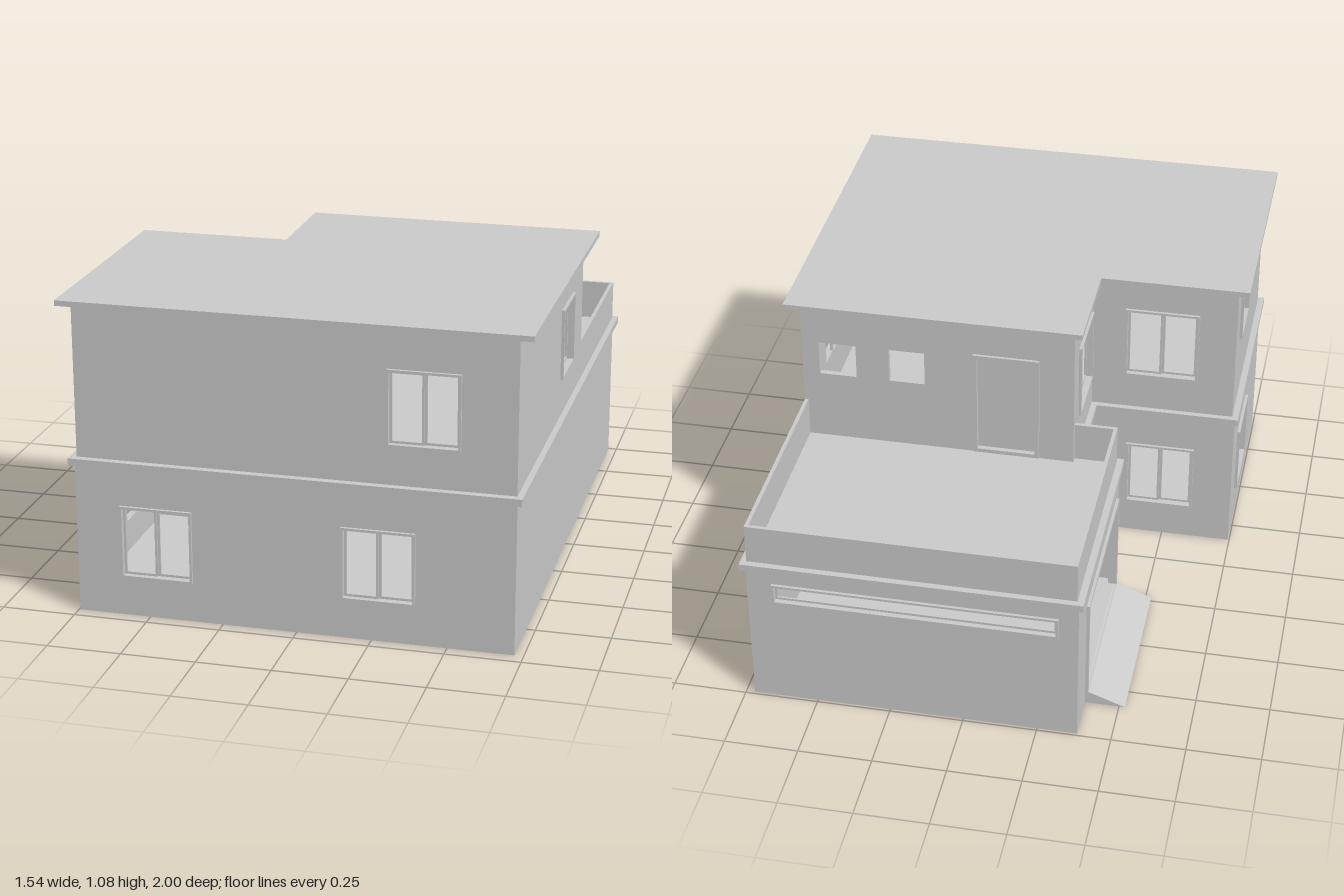
import * as THREE from 'three';

const T = 0.02; // wall thickness
const grey = new THREE.MeshStandardMaterial({ color: 0xcccccc, side: THREE.DoubleSide });

// Outward normals; sign turns a world coordinate into the wall's own left-to-right one
const SIDES = {
  front: { n: [0, 1], sign: 1 },
  back: { n: [0, -1], sign: -1 },
  left: { n: [1, 0], sign: -1 },
  right: { n: [-1, 0], sign: 1 },
};

function rect(target, a, b, y0, y1) {
  target.moveTo(a, y0);
  target.lineTo(b, y0);
  target.lineTo(b, y1);
  target.lineTo(a, y1);
  target.closePath();
  return target;
}

// Upright plate with rectangular holes [a, b, y0, y1], from depth z0 to z1
function plate(name, [a, b, y0, y1], holes, z0, z1) {
  const shape = rect(new THREE.Shape(), a, b, y0, y1);
  for (const h of holes) shape.holes.push(rect(new THREE.Path(), ...h));
  const geo = new THREE.ExtrudeGeometry(shape, { depth: z1 - z0, bevelEnabled: false });
  geo.translate(0, 0, z0);
  const mesh = new THREE.Mesh(geo, grey);
  mesh.name = name;
  return mesh;
}

const inset = ([a, b, y0, y1], d) => [a + d, b - d, y0 + d, y1 - d];

// Raised outer ring with one or two recessed sashes
function windowFrame(r, panes) {
  const group = new THREE.Group();
  group.name = 'windowFrame';
  group.add(plate('casing', r, [inset(r, 0.008)], -T, 0.01));
  const [a, b, y0, y1] = inset(r, 0.008);
  const w = (b - a) / panes;
  for (let i = 0; i < panes; i++) {
    const sash = [a + i * w, a + (i + 1) * w, y0, y1];
    const z = -0.008 - i * 0.006;
    group.add(plate('sash', sash, [inset(sash, 0.008)], z - 0.006, z));
  }
  return group;
}

// Wall in world coordinates; each opening is {r: [from, to, y0, y1], type}
function wall(name, side, dist, [from, to, y0, y1], openings = [], thick = T) {
  const { n, sign } = SIDES[side];
  const local = ([p, q, lo, hi]) => [Math.min(p * sign, q * sign), Math.max(p * sign, q * sign), lo, hi];
  const group = new THREE.Group();
  group.name = name;
  const holes = openings.map((o) => local(o.r));
  const cut = holes.map((h, i) => (openings[i].type === 'hole' ? h : inset(h, 0.004)));
  group.add(plate('wallPanel', local([from, to, y0, y1]), cut, -thick, 0));
  openings.forEach(({ type }, i) => {
    const h = holes[i];
    if (type === 'double') group.add(windowFrame(h, 2));
    if (type === 'single') group.add(windowFrame(h, 1));
    if (type === 'frame' || type === 'door') group.add(plate('openingFrame', h, [inset(h, 0.014)], -T, 0.01));
    if (type === 'door') group.add(plate('doorLeaf', inset(h, 0.014), [], -0.018, -0.008));
  });
  group.rotation.y = Math.atan2(n[0], n[1]);
  group.position.set(n[0] * Math.abs(dist), 0, n[1] * Math.abs(dist));
  // Walls whose plane lies across the centre from their facing direction
  if (n[0] * dist < 0) group.position.x = dist;
  if (n[1] * dist < 0) group.position.z = dist;
  return group;
}

// Horizontal slab from [x, z] corners
function slab(name, points, y0, y1) {
  const shape = new THREE.Shape(points.map(([x, z]) => new THREE.Vector2(x, -z)));
  const geo = new THREE.ExtrudeGeometry(shape, { depth: y1 - y0, bevelEnabled: false });
  geo.rotateX(-Math.PI / 2).translate(0, y0, 0);
  const mesh = new THREE.Mesh(geo, grey);
  mesh.name = name;
  return mesh;
}

function box(name, x0, x1, y0, y1, z0, z1) {
  const mesh = new THREE.Mesh(new THREE.BoxGeometry(x1 - x0, y1 - y0, z1 - z0), grey);
  mesh.position.set((x0 + x1) / 2, (y0 + y1) / 2, (z0 + z1) / 2);
  mesh.name = name;
  return mesh;
}

export function createModel() {
  const house = new THREE.Group();
  house.name = 'house';

  // Ground slab, floor band and flat roof
  house.add(slab('groundSlab', [[-0.745, 0.955], [0.72, 0.955], [0.72, -0.99], [-0.385, -0.99],
    [-0.385, -0.18], [-0.23, -0.18], [-0.23, 0.16], [-0.745, 0.16]], 0, 0.04));
  house.add(slab('floorBand', [[-0.757, 0.985], [0.74, 0.985], [0.74, -0.997], [-0.4, -0.997],
    [-0.4, -0.17], [-0.25, -0.17], [-0.25, 0.14], [-0.757, 0.14]], 0.52, 0.545));
  house.add(slab('roof', [[-0.775, 1], [0.77, 1], [0.77, -0.25], [-0.26, -0.25],
    [-0.26, 0.125], [-0.775, 0.125]], 1.065, 1.083));

  // Ground floor walls
  const g0 = 0, g1 = 0.52;
  house.add(wall('groundFrontWall', 'front', 0.955, [-0.745, 0.72, g0, g1], [
    { r: [-0.595, -0.35, 0.135, 0.385], type: 'double' },
    { r: [0.15, 0.395, 0.135, 0.385], type: 'double' }]));
  house.add(wall('groundLeftWall', 'left', 0.72, [-0.99, 0.955, g0, g1]));
  house.add(wall('groundBackWall', 'back', -0.99, [-0.385, 0.72, g0, g1], [
    { r: [-0.32, 0.635, 0.4, 0.475], type: 'single' }]));
  house.add(wall('garageWall', 'right', -0.385, [-0.99, -0.18, g0, g1], [
    { r: [-0.835, -0.225, 0.035, 0.415], type: 'frame' }]));
  house.add(wall('garageReturnWall', 'front', -0.18, [-0.385, -0.21, g0, g1]));
  house.add(wall('entranceWall', 'right', -0.23, [-0.2, 0.16, g0, g1], [
    { r: [-0.115, 0.055, 0.06, 0.385], type: 'door' }]));
  house.add(wall('groundWingBackWall', 'back', 0.16, [-0.745, -0.21, g0, g1], [
    { r: [-0.605, -0.36, 0.13, 0.385], type: 'double' }]));
  house.add(wall('groundRightWall', 'right', -0.745, [0.16, 0.955, g0, g1], [
    { r: [0.3, 0.55, 0.135, 0.385], type: 'double' }]));

  // Upper floor walls
  const u0 = 0.545, u1 = 1.065;
  house.add(wall('upperFrontWall', 'front', 0.96, [-0.735, 0.72, u0, u1], [
    { r: [0.3, 0.54, 0.675, 0.93], type: 'double' }]));
  house.add(wall('upperLeftWall', 'left', 0.72, [-0.22, 0.96, u0, u1], [
    { r: [-0.015, 0.205, 0.68, 0.925], type: 'double' }]));
  house.add(wall('upperBackWall', 'back', -0.22, [-0.23, 0.72, u0, u1], [
    { r: [-0.11, 0.12, 0.55, 0.945], type: 'door' },
    { r: [0.29, 0.415, 0.8, 0.925], type: 'hole' },
    { r: [0.53, 0.66, 0.8, 0.925], type: 'hole' }]));
  house.add(wall('upperNotchWall', 'right', -0.23, [-0.22, 0.16, u0, u1], [
    { r: [-0.13, 0.115, 0.68, 0.95], type: 'double' }]));
  house.add(wall('upperWingBackWall', 'back', 0.16, [-0.735, -0.21, u0, u1], [
    { r: [-0.605, -0.345, 0.68, 0.95], type: 'double' }]));
  house.add(wall('upperRightWall', 'right', -0.735, [0.16, 0.96, u0, u1], [
    { r: [0.26, 0.465, 0.81, 0.985], type: 'single' }]));

  // Terrace parapet
  const p0 = 0.545, p1 = 0.685, pt = 0.013;
  house.add(wall('parapetBack', 'back', -0.975, [-0.377, 0.72, p0, p1], [], pt));
  house.add(wall('parapetLeft', 'left', 0.72, [-0.975, -0.22, p0, p1], [], pt));
  house.add(wall('parapetRight', 'right', -0.377, [-0.975, -0.185, p0, p1], [], pt));
  house.add(wall('parapetFront', 'front', -0.185, [-0.377, -0.23, p0, p1], [], pt));

  // Garage ramp
  const wedge = new THREE.Shape([[-0.52, 0], [-0.385, 0], [-0.385, 0.05]].map((p) => new THREE.Vector2(...p)));
  const ramp = new THREE.Mesh(new THREE.ExtrudeGeometry(wedge, { depth: 0.6, bevelEnabled: false }), grey);
  ramp.position.z = -0.83;
  ramp.name = 'garageRamp';
  house.add(ramp);

  // Entrance porch with steps
  const porch = new THREE.Group();
  porch.name = 'entrancePorch';
  porch.add(box('porchCanopy', -0.33, -0.23, 0.388, 0.403, -0.14, 0.08));
  for (const z of [-0.14, 0.068]) porch.add(box('porchSide', -0.33, -0.23, 0, 0.388, z, z + 0.012));
  porch.add(box('lowerStep', -0.33, -0.23, 0, 0.03, -0.128, 0.068));
  porch.add(box('upperStep', -0.28, -0.23, 0.03, 0.06, -0.128, 0.068));
  house.add(porch);

  return house;
}
